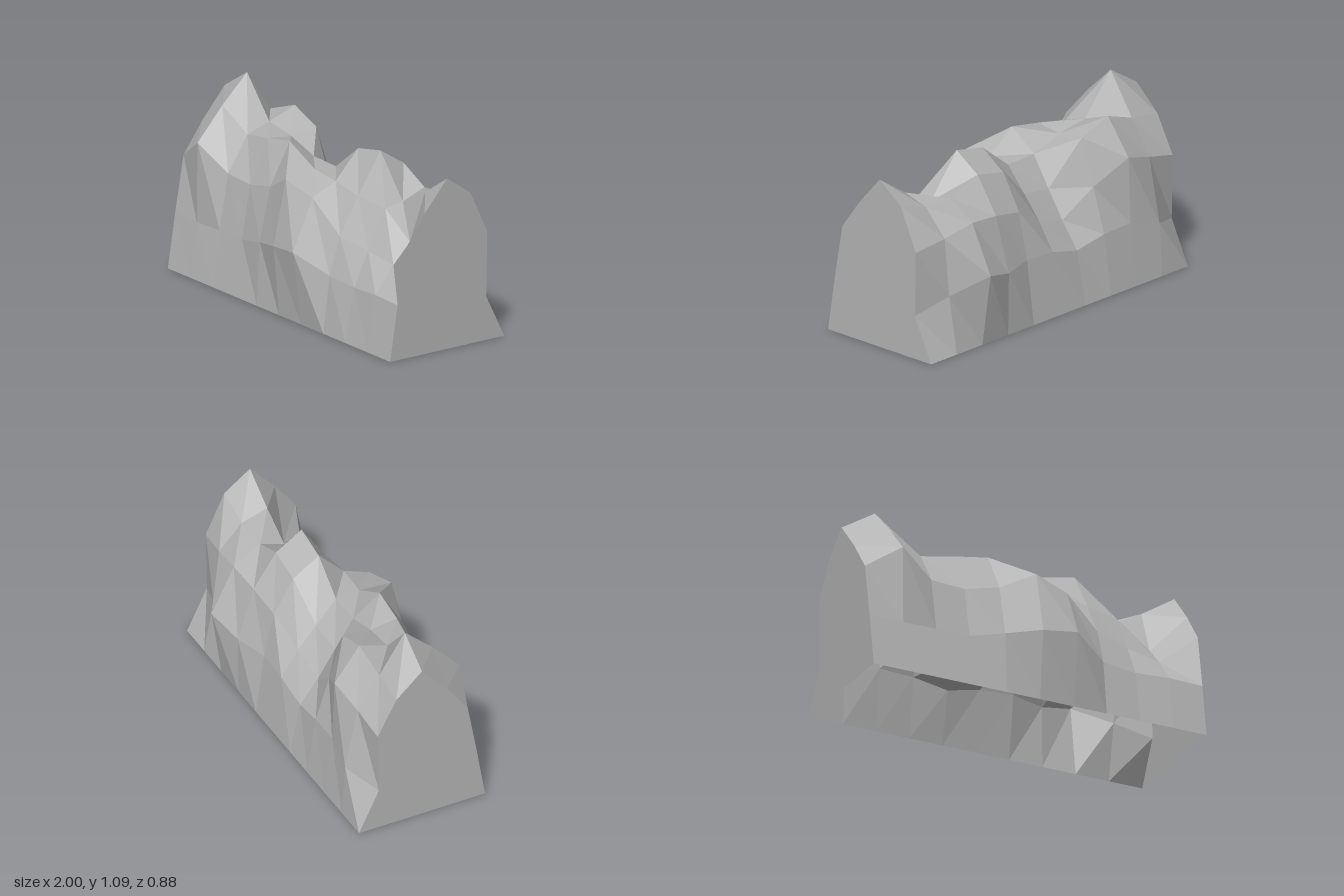
import * as THREE from 'three';

// Rows running along x, from the front foot over the ridge to the back foot.
// Each row has a depth z and a height y at eleven stations, or one constant.
const ROWS = [
  { z: 0.38, y: 0 },
  { // front lower slope
    z: [0.33, 0.335, 0.33, 0.33, 0.36, 0.415, 0.435, 0.34, 0.325, 0.33, 0.33],
    y: [0.31, 0.305, 0.31, 0.31, 0.355, 0.395, 0.415, 0.32, 0.305, 0.315, 0.31] },
  { // front shoulder
    z: [0.275, 0.33, 0.275, 0.275, 0.29, 0.335, 0.305, 0.27, 0.23, 0.21, 0.275],
    y: [0.62, 0.75, 0.62, 0.61, 0.655, 0.757, 0.70, 0.53, 0.49, 0.46, 0.62] },
  { // front upper slope
    z: [0.15, 0.165, 0.145, 0.16, 0.16, 0.14, 0.15, 0.15, 0.115, 0.10, 0.15],
    y: [0.79, 0.93, 0.815, 0.85, 0.885, 0.775, 0.765, 0.73, 0.707, 0.57, 0.79] },
  { // ridge
    z: 0,
    y: [0.96, 1.085, 0.86, 0.83, 0.77, 0.765, 0.92, 0.96, 0.725, 0.83, 0.96] },
  { // back upper slope
    z: [-0.155, -0.155, -0.17, -0.165, -0.11, -0.12, -0.155, -0.155, -0.145, -0.155, -0.155],
    y: [0.82, 0.85, 0.92, 0.85, 0.60, 0.63, 0.82, 0.86, 0.778, 0.785, 0.85] },
  { // back shoulder
    z: [-0.267, -0.285, -0.32, -0.25, -0.21, -0.23, -0.27, -0.29, -0.305, -0.29, -0.267],
    y: [0.61, 0.66, 0.72, 0.59, 0.445, 0.50, 0.62, 0.66, 0.68, 0.64, 0.61] },
  { // back lower slope
    z: [-0.26, -0.36, -0.335, -0.33, -0.32, -0.33, -0.33, -0.385, -0.44, -0.325, -0.26],
    y: [0.245, 0.30, 0.35, 0.34, 0.30, 0.35, 0.36, 0.355, 0.41, 0.32, 0.245] },
  { z: -0.38, y: 0 },
];
const STATIONS = 11;

const at = (v, s) => (Array.isArray(v) ? v[s] : v);
const point = (s, r) => [-1 + 0.2 * s, at(ROWS[r].y, s), at(ROWS[r].z, s)];

// Unshared corners give every facet its own flat normal
function facets(triangles) {
  const geometry = new THREE.BufferGeometry();
  geometry.setAttribute('position', new THREE.Float32BufferAttribute(triangles.flat(2), 3));
  geometry.computeVertexNormals();
  return geometry;
}

export function createModel() {
  const group = new THREE.Group();
  group.name = 'rockRidge';
  const stone = new THREE.MeshStandardMaterial({ color: 0xb4b4b4, side: THREE.DoubleSide });
  stone.name = 'grey stone';

  const add = (name, triangles) => {
    const mesh = new THREE.Mesh(facets(triangles), stone);
    mesh.name = name;
    group.add(mesh);
  };

  // Faceted slopes on both sides, open underneath
  const slopes = [];
  for (let s = 0; s < STATIONS - 1; s++) {
    for (let r = 0; r < ROWS.length - 1; r++) {
      const a = point(s, r), b = point(s + 1, r);
      const c = point(s + 1, r + 1), d = point(s, r + 1);
      slopes.push([a, b, d], [b, c, d]);
    }
  }
  add('rockSlopes', slopes);

  // Flat cut ends, fanned from the middle of the foot
  for (const [name, s] of [['rightEnd', 0], ['leftEnd', STATIONS - 1]]) {
    const foot = [-1 + 0.2 * s, 0, 0];
    const cap = [];
    for (let r = 0; r < ROWS.length - 1; r++) {
      const p = point(s, r), q = point(s, r + 1);
      cap.push(s === 0 ? [foot, p, q] : [foot, q, p]);
    }
    add(name, cap);
  }
  return group;
}
